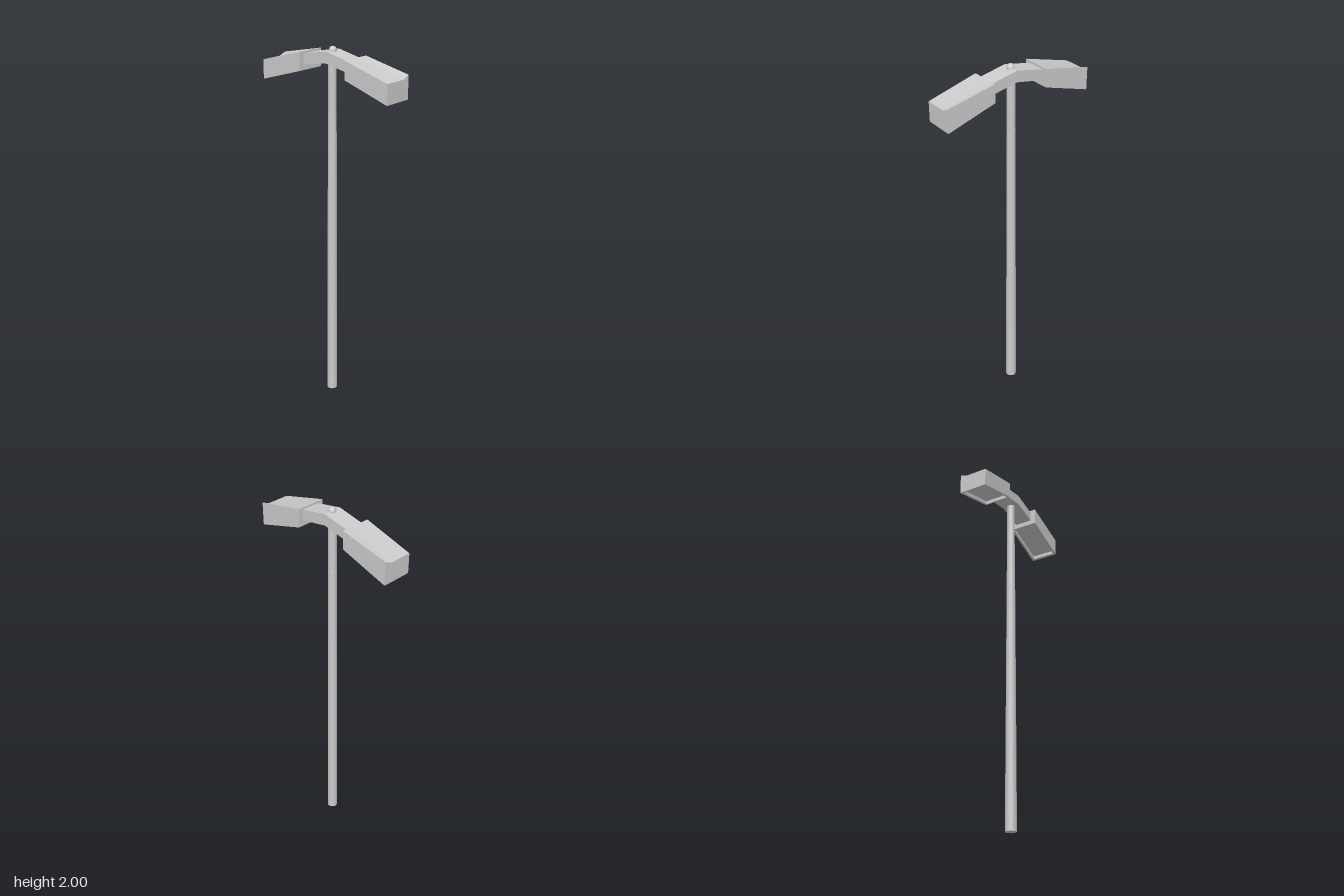
import * as THREE from 'three';

const grey = new THREE.MeshStandardMaterial({ color: 0xcccccc });
const Z_IN = 0.15, Z_OUT = 0.415, HALF_W = 0.08, RIM = 0.012, DEPTH = 0.02;

function add(group, name, geometry) {
  const mesh = new THREE.Mesh(geometry, grey);
  mesh.name = name;
  group.add(mesh);
  return mesh;
}

// Move every vertex's height by a rule
function reshape(geometry, rule) {
  const p = geometry.attributes.position;
  for (let i = 0; i < p.count; i++) p.setY(i, rule(p.getX(i), p.getY(i), Math.abs(p.getZ(i))));
  geometry.computeVertexNormals();
  return geometry;
}

const along = (z) => (z - Z_IN) / (Z_OUT - Z_IN);
const underside = (z) => THREE.MathUtils.lerp(1.865, 1.785, along(z));

function rectangle(shape, hx, hz) {
  shape.moveTo(-hx, -hz).lineTo(hx, -hz).lineTo(hx, hz).lineTo(-hx, hz).closePath();
  return shape;
}

// Sloping lamp head on one end of the arm
function lampHead(side) {
  const head = new THREE.Group();
  const length = Z_OUT - Z_IN;
  const zMid = side * (Z_IN + Z_OUT) / 2;

  // Solid housing; its outer top edge lifts toward one corner
  const body = new THREE.BoxGeometry(HALF_W * 2, 1, length, 2, 1, 1);
  const p = body.attributes.position;
  for (let i = 0; i < p.count; i++) if (Math.abs(p.getX(i)) < 0.01) p.setX(i, 0.04);
  body.translate(0, 0, zMid);
  reshape(body, (x, y, z) => {
    if (y < 0) return underside(z) + DEPTH;
    return THREE.MathUtils.lerp(1.96, x > 0.06 ? 1.905 : 1.888, along(z));
  });
  add(head, 'lampHousing', body);

  // Rim around the recessed light panel
  const outline = rectangle(new THREE.Shape(), HALF_W, length / 2);
  outline.holes.push(rectangle(new THREE.Path(), HALF_W - RIM, length / 2 - RIM));
  const rim = new THREE.ExtrudeGeometry(outline, { depth: DEPTH, bevelEnabled: false });
  rim.rotateX(-Math.PI / 2).translate(0, 0, zMid);
  reshape(rim, (x, y, z) => underside(z) + y);
  add(head, 'lampRim', rim);
  return head;
}

export function createModel() {
  const model = new THREE.Group();
  model.name = 'streetLamp';

  // Tapered pole with a straight upper section
  add(model, 'pole', new THREE.CylinderGeometry(0.023, 0.03, 1.66, 12)).position.y = 0.83;
  add(model, 'poleTop', new THREE.CylinderGeometry(0.022, 0.022, 0.3, 12)).position.y = 1.79;

  // Bent arm, side profile extruded across the width
  const profile = new THREE.Shape();
  profile.moveTo(-0.16, 1.89).lineTo(0, 1.92).lineTo(0.16, 1.89)
    .lineTo(0.16, 1.947).lineTo(0, 1.979).lineTo(-0.16, 1.947).closePath();
  const arm = new THREE.ExtrudeGeometry(profile, { depth: 0.1, bevelEnabled: false });
  arm.translate(0, 0, -0.05).rotateY(Math.PI / 2);
  add(model, 'arm', arm);

  // Small knob on top
  add(model, 'knob', new THREE.SphereGeometry(0.021, 10, 8)).position.set(0, 1.979, 0.003);

  for (const side of [1, -1]) {
    const head = lampHead(side);
    head.name = side > 0 ? 'frontLampHead' : 'backLampHead';
    model.add(head);
  }
  return model;
}
